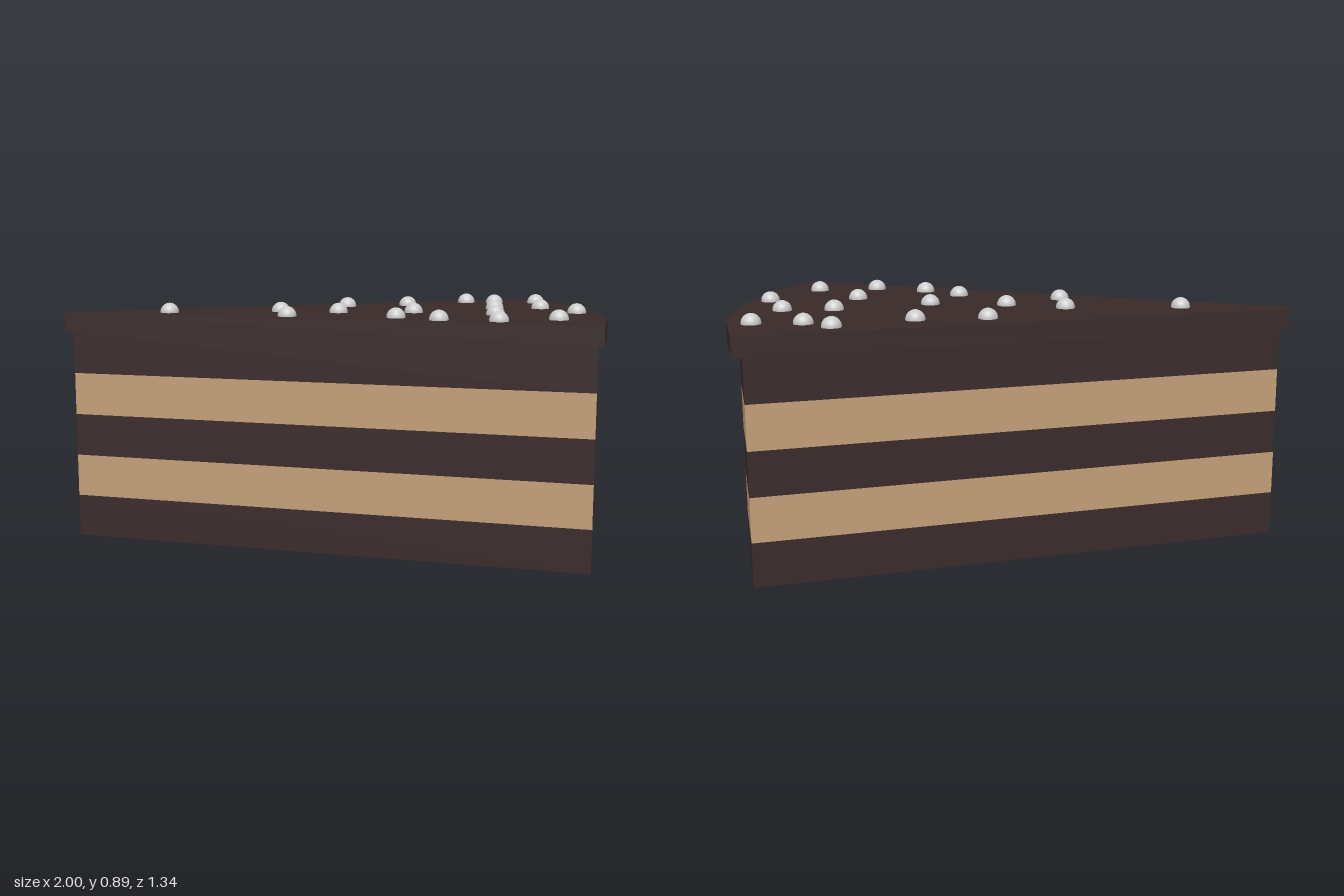
import * as THREE from 'three';

const chocolate = new THREE.MeshStandardMaterial({ color: 0x3a2a2a });
const sponge = new THREE.MeshStandardMaterial({ color: 0xc49f78 });
const grey = new THREE.MeshStandardMaterial({ color: 0xcccccc });

// Wedge outlines as [x, z], seen from above
const bodyOutline = [[-0.97, -0.165], [0.8, 0.635], [0.91, 0.32], [0.955, 0], [0.96, -0.3], [0.9, -0.635]];
const icingOutline = [[-1, -0.19], [-1, -0.14], [0.81, 0.665], [0.94, 0.33], [0.99, 0], [1, -0.31], [0.93, -0.67]];

// Sprinkle positions as [x, z]
const sprinkleSpots = [
  [-0.61, -0.13], [-0.19, -0.12], [-0.19, 0.1], [0.02, -0.04], [0.1, -0.34], [0.35, -0.36],
  [0.3, 0], [0.19, 0.22], [0.32, 0.34], [0.515, 0.42], [0.74, 0.39], [0.575, 0.155],
  [0.645, -0.115], [0.83, -0.12], [0.9, 0.11], [0.9, -0.41], [0.725, -0.415], [0.625, -0.49],
];

// Flat slab with the given outline, lying between two heights
function slab(name, outline, bottom, top, material) {
  const shape = new THREE.Shape(outline.map(([x, z]) => new THREE.Vector2(x, -z)));
  const geometry = new THREE.ExtrudeGeometry(shape, { depth: top - bottom, bevelEnabled: false });
  geometry.rotateX(-Math.PI / 2);
  const mesh = new THREE.Mesh(geometry, material);
  mesh.name = name;
  mesh.position.y = bottom;
  return mesh;
}

export function createModel() {
  const cake = new THREE.Group();
  cake.name = 'cakeSlice';

  // Five alternating layers
  const icingBottom = 0.787, icingTop = 0.857;
  const step = icingBottom / 5;
  for (let i = 0; i < 5; i++) {
    const dark = i % 2 === 0;
    cake.add(slab((dark ? 'chocolateLayer' : 'creamLayer') + (i + 1), bodyOutline,
      i * step, (i + 1) * step, dark ? chocolate : sponge));
  }

  // Overhanging icing
  cake.add(slab('icing', icingOutline, icingBottom, icingTop, chocolate));

  // Round sprinkles half sunk into the icing
  const sprinkles = new THREE.Group();
  sprinkles.name = 'sprinkles';
  const ball = new THREE.SphereGeometry(0.035, 20, 14);
  sprinkleSpots.forEach(([x, z], i) => {
    const mesh = new THREE.Mesh(ball, grey);
    mesh.name = 'sprinkle' + (i + 1);
    mesh.position.set(x, icingTop + 0.002, z);
    sprinkles.add(mesh);
  });
  cake.add(sprinkles);
  return cake;
}
